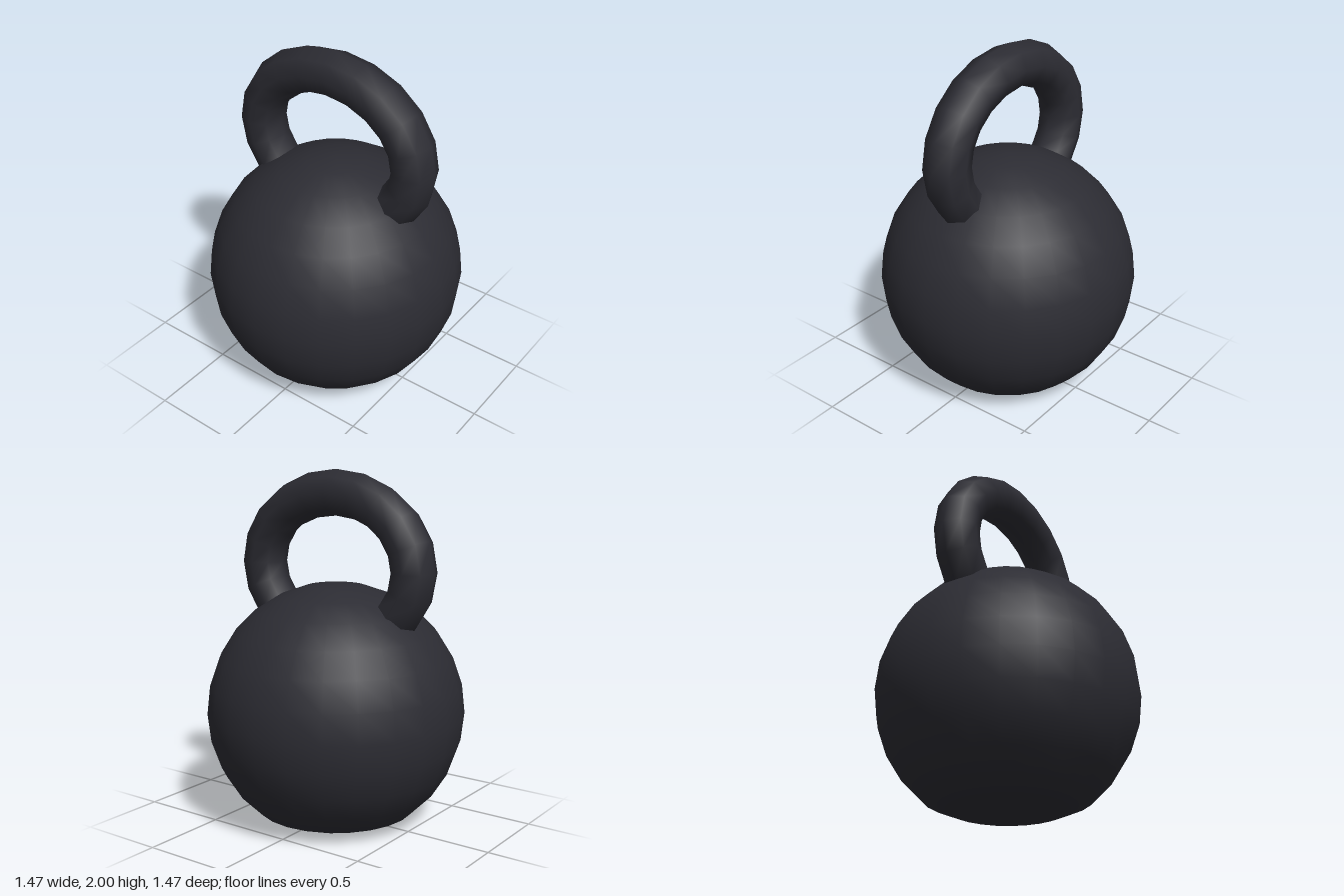
import * as THREE from 'three';
import { mergeVertices } from 'three/addons/utils/BufferGeometryUtils.js';

const BALL_RADIUS = 0.737;
const BALL_Y = 0.634;

// Elliptical arc for the handle; both ends are buried in the ball
class HandleCurve extends THREE.Curve {
  getPoint(t, target = new THREE.Vector3()) {
    const a = THREE.MathUtils.degToRad(-144 + 288 * t);
    return target.set(0.5125 * Math.sin(a), 1.46 + 0.412 * Math.cos(a), 0);
  }
  // Even steps in angle rather than in length
  getPointAt(t, target) { return this.getPoint(t, target); }
  getTangentAt(t, target) { return this.getTangent(t, target); }
}

// Sphere whose underside is pressed flat onto the floor
function makeBall() {
  const sphere = new THREE.SphereGeometry(BALL_RADIUS, 24, 14);
  sphere.translate(0, BALL_Y, 0);
  const p = sphere.attributes.position;
  for (let i = 0; i < p.count; i++) p.setY(i, Math.max(0, p.getY(i)));
  sphere.deleteAttribute('uv');
  sphere.deleteAttribute('normal');
  const ball = mergeVertices(sphere, 1e-4);
  ball.computeVertexNormals();
  return ball;
}

export function createModel() {
  const iron = new THREE.MeshStandardMaterial({ color: 0x2c2c33 });
  iron.name = 'cast iron';

  const ball = new THREE.Mesh(makeBall(), iron);
  ball.name = 'ball';

  const handle = new THREE.Mesh(new THREE.TubeGeometry(new HandleCurve(), 16, 0.128, 8), iron);
  handle.name = 'handle';

  const model = new THREE.Group();
  model.name = 'kettlebell';
  model.add(ball, handle);
  return model;
}
